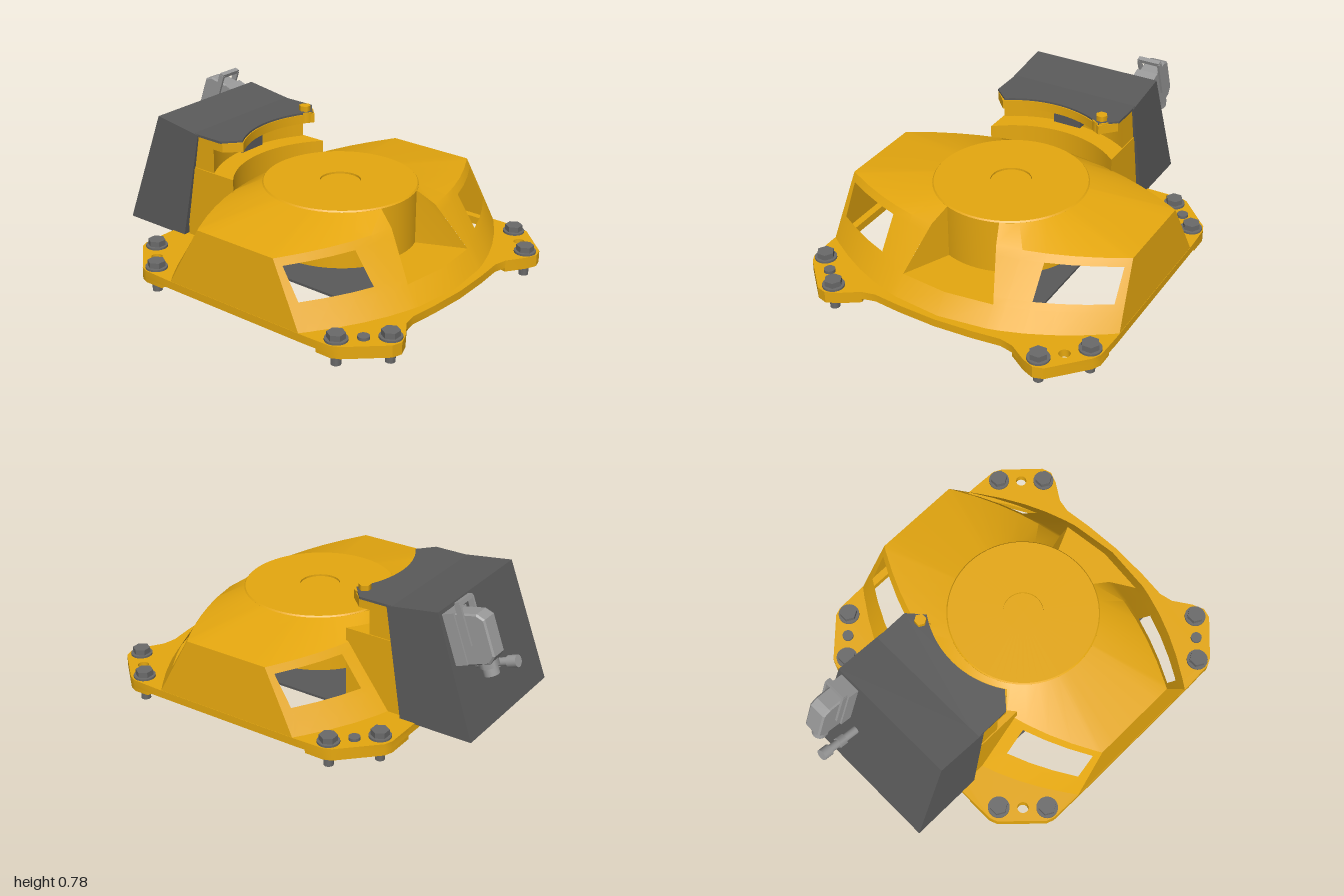
import * as THREE from 'three';
import { toCreasedNormals, mergeGeometries } from 'three/addons/utils/BufferGeometryUtils.js';

const mat = (color, side = THREE.FrontSide) => new THREE.MeshStandardMaterial({ color, side });
const yellow = mat(0xe6a80f), yellowShell = mat(0xe6a80f, THREE.DoubleSide);
const dark = mat(0x5a5a5a), steel = mat(0x6a6a6a), light = mat(0x999999);
const CX = 0.21; // turning axis of the base
const lerp = THREE.MathUtils.lerp;

function add(parent, name, geometry, material, x = 0, y = 0, z = 0) {
  const mesh = new THREE.Mesh(geometry, material);
  mesh.name = name;
  mesh.position.set(x, y, z);
  parent.add(mesh);
  return mesh;
}

// Extrudes a plan outline of [x, z] points between two heights
function plan(points, y0, y1, holes = []) {
  const toV = ([x, z]) => new THREE.Vector2(x, -z);
  const shape = new THREE.Shape(points.map(toV));
  for (const h of holes) shape.holes.push(new THREE.Path(h.map(toV)));
  const g = new THREE.ExtrudeGeometry(shape, { depth: y1 - y0, bevelEnabled: false });
  return toCreasedNormals(g.rotateX(-Math.PI / 2).translate(0, y0, 0), 0.5);
}

const circle = (x, z, r, n = 16) => Array.from({ length: n }, (_, i) =>
  [x + r * Math.cos(i / n * 2 * Math.PI), z + r * Math.sin(i / n * 2 * Math.PI)]);

// Shell: cross-section loops from the foot up to the turntable rim
const LEVELS = [0.1, 0.21, 0.24, 0.39, 0.425];
const halfX = (z, y) => {
  const t = (0.425 - y) / 0.325;
  return lerp(0.45, 0.7, t) - lerp(0.23, 0.29, t) * (z / 0.78) ** 2;
};
function shellLoop(y) {
  const edge = lerp(0.79, 0.765, (y - 0.1) / 0.325);
  const pocket = lerp(0.175, 0.245, Math.min(1, (0.425 - y) / 0.215));
  const half = [edge, 0.74, 0.63, 0.52, 0.41, 0.3, pocket];
  const zs = [...half, 0, ...half.map(z => -z).reverse()];
  const hx = halfX(edge, y), loop = [];
  for (const s of [1, -1]) {
    for (const z of zs) loop.push([CX + s * halfX(z, y), y, s * z]);
    for (let i = 1; i < 6; i++) loop.push([CX + s * hx * (1 - i / 3), y, -s * edge]);
  }
  return loop;
}

function shellGeometry() {
  const loops = LEVELS.map(shellLoop);
  loops.push(loops[4].map(([x, , z]) => {
    const k = 0.38 / Math.hypot(x - CX, z);
    return [CX + (x - CX) * k, 0.485, z * k];
  }));
  const pos = [];
  const quad = (a, b, c, d) => pos.push(...a, ...b, ...c, ...a, ...c, ...d);
  const n = loops[0].length;
  for (let r = 0; r < 5; r++) {
    for (let j = 0; j < n; j++) {
      const k = j < 14 ? j : j - 20;
      const windowCell = r === 2 && ((k >= 1 && k <= 3) || (k >= 10 && k <= 12));
      const pocketCell = r >= 1 && (j === 6 || j === 7);
      if (windowCell || pocketCell) continue;
      const m = (j + 1) % n;
      quad(loops[r][j], loops[r][m], loops[r + 1][m], loops[r + 1][j]);
    }
  }
  // Pocket cheeks and floor
  const low = ([x, , z]) => [x, 0.21, z];
  const [a, b] = [loops[5][6], loops[5][8]];
  quad(low(a), loops[1][6], loops[4][6], a);
  quad(b, loops[4][8], loops[1][8], low(b));
  quad(low(a), low(b), loops[1][7], loops[1][6]);
  pos.push(...low(b), ...loops[1][8], ...loops[1][7]);
  const g = new THREE.BufferGeometry();
  g.setAttribute('position', new THREE.Float32BufferAttribute(pos, 3));
  return toCreasedNormals(g, 0.5);
}

// Block whose inner side is a concave arc around the turning axis
function arcBlock(r, x0, hw, zArc, y0, y1, chamferX) {
  const pts = [[x0, hw]];
  if (chamferX !== undefined) pts.push([chamferX, hw]);
  for (let i = 0; i <= 16; i++) {
    const z = zArc * (1 - i / 8);
    pts.push([CX - Math.sqrt(r * r - z * z), z]);
  }
  if (chamferX !== undefined) pts.push([chamferX, -hw]);
  pts.push([x0, -hw]);
  return plan(pts, y0, y1);
}

function hexBolt() {
  const cyl = (r, y0, y1, n) => new THREE.CylinderGeometry(r, r, y1 - y0, n).translate(0, (y0 + y1) / 2, 0);
  return toCreasedNormals(mergeGeometries([
    cyl(0.024, 0, 0.12, 16), cyl(0.054, 0.12, 0.13, 24), cyl(0.044, 0.13, 0.158, 6),
  ]), 0.6);
}

function buildConnector() {
  const g = new THREE.Group();
  g.name = 'connector';
  g.position.set(-0.727, 0.55, -0.265);
  g.rotation.z = -0.339;
  const box = (name, w, h, d, x, y, z = 0) => add(g, name, new THREE.BoxGeometry(w, h, d), light, x, y, z);
  box('connectorBase', 0.07, 0.25, 0.115, -0.03, 0.025);
  const hood = new THREE.Shape([[-0.2, -0.07], [-0.17, -0.1], [-0.06, -0.1], [-0.06, 0.14], [-0.17, 0.125], [-0.2, 0.1]]
    .map(p => new THREE.Vector2(...p)));
  add(g, 'connectorHood', new THREE.ExtrudeGeometry(hood, { depth: 0.08, bevelSize: 0.008, bevelThickness: 0.008, bevelSegments: 1 }),
    light, 0, 0, -0.04);
  // Locking lever: two arms joined by a bar
  for (const s of [-1, 1]) box('leverArm', 0.03, 0.2, 0.012, -0.1, 0.09, s * 0.056);
  box('leverBar', 0.025, 0.02, 0.12, -0.1, 0.19);
  // Cable glands
  const gland = (name, r, h, n, x, y, z, turned) => {
    const m = add(g, name, new THREE.CylinderGeometry(r, r, h, n), light, x, y, z);
    if (turned) m.rotation.z = Math.PI / 2;
  };
  gland('glandNut', 0.048, 0.035, 6, -0.14, -0.115, 0);
  gland('glandCap', 0.038, 0.04, 20, -0.14, -0.15, 0);
  gland('sideGland', 0.02, 0.2, 20, -0.1, -0.155, 0.105, true);
  gland('sideGlandNut', 0.029, 0.04, 6, -0.1, -0.155, 0.105, true);
  gland('sideGlandCap', 0.029, 0.05, 20, -0.2, -0.155, 0.105, true);
  return g;
}

export function createModel() {
  const model = new THREE.Group();
  model.name = 'machineBase';

  add(model, 'shell', shellGeometry(), yellowShell);

  // Turntable with a shallow centre recess
  const disc = [[0.38, 0.2], [0.38, 0.485], [0.374, 0.492], [0.1, 0.492], [0.1, 0.482], [0, 0.482]];
  add(model, 'turntable', toCreasedNormals(new THREE.LatheGeometry(disc.map(p => new THREE.Vector2(...p)), 64), 0.5),
    yellowShell, CX);

  // Foot flange, open in the middle
  const half = [[-0.58, 0.56], [-0.565, 0.6], [-0.39, 0.77], [-0.35, 0.785], [-0.2, 0.79], [0.64, 0.79], [0.78, 0.785],
    [0.82, 0.765], [0.985, 0.61], [1, 0.56], [0.975, 0.5], [0.915, 0.41], [0.9, 0.34], [0.915, 0.2], [0.925, 0]];
  const outline = [...half, ...half.slice(0, -1).reverse().map(([x, z]) => [x, -z])];
  const opening = shellLoop(0.1).map(([x, , z]) => [CX + (x - CX) * 0.95, z * 0.95]);
  const holes = [circle(0.85, -0.64, 0.028), circle(-0.425, 0.64, 0.028)];
  add(model, 'footFlange', plan(outline, 0.08, 0.12, [opening, ...holes]), yellow);

  // Corner pads with bolts, a locating pin or a pin hole
  const pads = {
    right: [[-0.58, 0.42], [-0.58, 0.56], [-0.565, 0.6], [-0.39, 0.77], [-0.35, 0.785], [-0.25, 0.785], [-0.24, 0.72], [-0.47, 0.4]],
    left: [[0.7, 0.785], [0.78, 0.785], [0.82, 0.765], [0.985, 0.61], [1, 0.56], [0.975, 0.5], [0.915, 0.41], [0.87, 0.42], [0.67, 0.72]],
  };
  const bolt = hexBolt();
  for (const s of [-1, 1]) {
    for (const side of ['left', 'right']) {
      const hx = side === 'left' ? 0.85 : -0.425;
      const hasPin = (side === 'left') === (s === 1);
      add(model, side + 'Pad', plan(pads[side].map(([x, z]) => [x, s * z]), 0.06, 0.119,
        hasPin ? [] : [circle(hx, s * 0.64, 0.028)]), yellow);
      if (hasPin) add(model, 'locatingPin', new THREE.CylinderGeometry(0.028, 0.028, 0.06, 16), steel, hx, 0.105, s * 0.64);
    }
    for (const [x, z] of [[0.765, 0.725], [0.935, 0.555], [-0.34, 0.725], [-0.51, 0.555]])
      add(model, 'bolt', bolt, steel, x, 0, s * z);
  }

  // Rear yellow housing with a recess facing the turntable
  add(model, 'housingFoot', arcBlock(0.52, -0.49, 0.345, 0.345, 0.1, 0.495), yellow);
  add(model, 'housingWall', arcBlock(0.62, -0.45, 0.34, 0.34, 0.49, 0.63), yellow);
  add(model, 'housingLip', arcBlock(0.47, -0.45, 0.34, 0.27, 0.62, 0.666, -0.25), yellow);
  add(model, 'recessSocket', new THREE.BoxGeometry(0.08, 0.1, 0.15), dark, -0.4, 0.56, 0);
  add(model, 'lipBoss', new THREE.CylinderGeometry(0.045, 0.045, 0.055, 20), yellow, -0.23, 0.648, -0.26);
  add(model, 'lipBolt', new THREE.CylinderGeometry(0.03, 0.03, 0.03, 6), yellow, -0.23, 0.688, -0.26);

  // Grey rear box, slightly narrower towards the top
  const side = new THREE.Shape([[-0.88, 0.115], [-0.5, 0.115], [-0.405, 0.672], [-0.675, 0.71]].map(p => new THREE.Vector2(...p)));
  const box = new THREE.ExtrudeGeometry(side, { depth: 2, bevelEnabled: false }).translate(0, 0, -1);
  const p = box.attributes.position;
  for (let i = 0; i < p.count; i++) p.setZ(i, p.getZ(i) * lerp(0.37, 0.347, (p.getY(i) - 0.115) / 0.595));
  box.computeVertexNormals();
  add(model, 'rearBox', box, dark);
  add(model, 'rearBoxLid', arcBlock(0.475, -0.45, 0.345, 0.265, 0.664, 0.676, -0.255), dark);
  model.add(buildConnector());

  // Bottom cover
  add(model, 'bottomCover', new THREE.BoxGeometry(1.3, 0.012, 0.72), dark, 0.13, 0.08, 0);
  return model;
}
